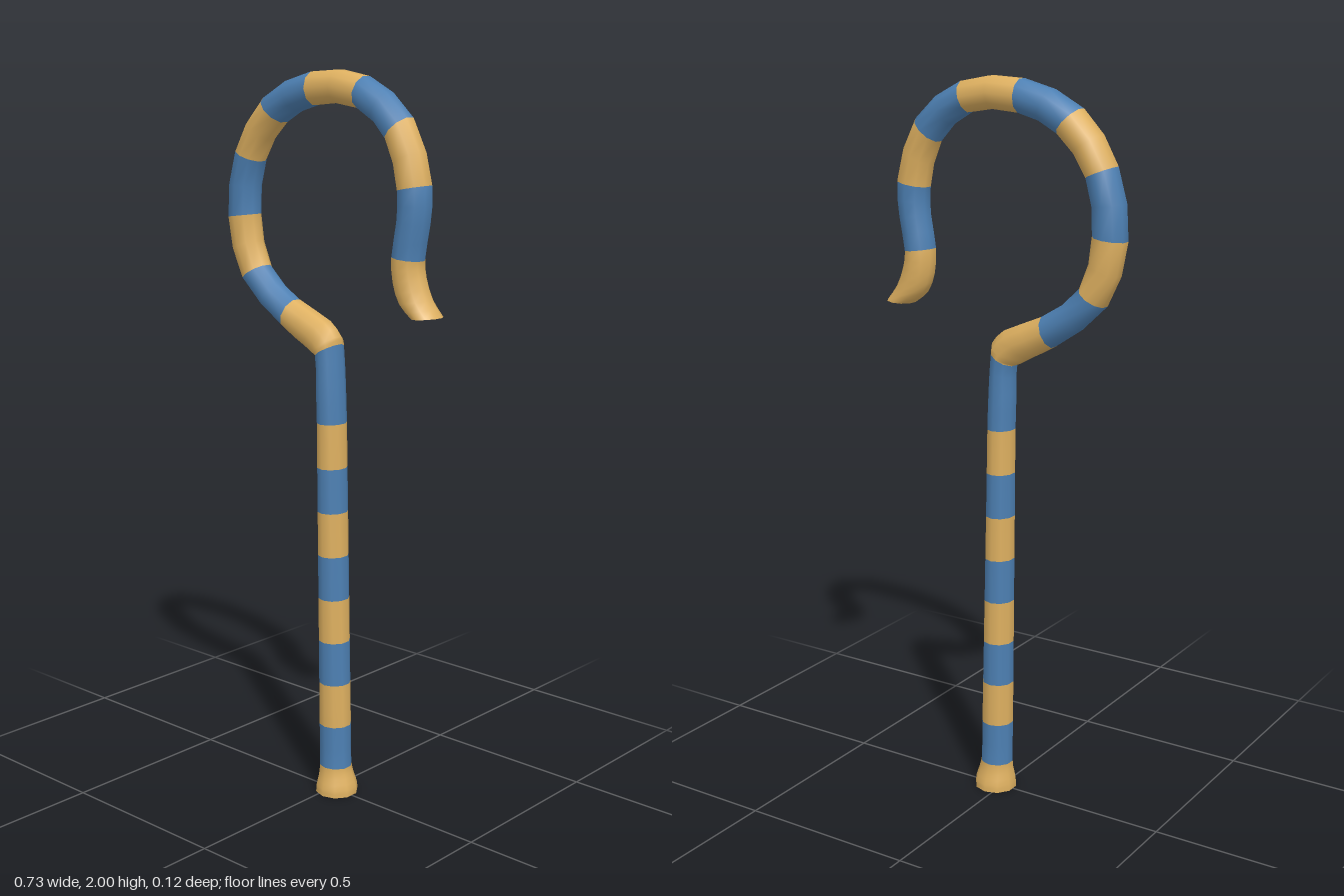
import * as THREE from 'three';

const SIDES = 10, STEPS = 2;
const GOLD = 0, BLUE = 1;

// Cross-sections along the staff: [left x, left y, right x, right y, depth radius, colour of the next stretch]
function crossSections() {
  const rows = [
    // flared foot
    [-0.037, 0, 0.077, 0, 0.06, GOLD],
    [-0.036, 0.02, 0.076, 0.02, 0.059, GOLD],
    [-0.031, 0.05, 0.067, 0.05, 0.05, GOLD],
  ];
  // straight shaft with even stripes
  for (let k = 0; k <= 8; k++) {
    const y = 0.08 + k * 0.1237, t = k / 8;
    rows.push([-0.028 - 0.007 * t, y, 0.06 - 0.023 * t, y, 0.045, k % 2 ? GOLD : BLUE]);
  }
  // bend at the neck, the loop and the curled tip
  const hook = [
    [-0.038, 1.17, 0.033, 1.17, BLUE],
    [-0.04, 1.248, 0.024, 1.285, GOLD],
    [-0.052, 1.252, 0.022, 1.305, GOLD],
    [-0.087, 1.272, -0.016, 1.343, GOLD],
    [-0.161, 1.312, -0.13, 1.391, BLUE],
    [-0.312, 1.433, -0.243, 1.476, GOLD],
    [-0.368, 1.603, -0.278, 1.614, BLUE],
    [-0.336, 1.788, -0.257, 1.757, GOLD],
    [-0.235, 1.926, -0.172, 1.863, BLUE],
    [-0.061, 1.995, -0.056, 1.91, GOLD],
    [0.119, 1.984, 0.098, 1.905, BLUE],
    [0.262, 1.884, 0.198, 1.825, GOLD],
    [0.325, 1.719, 0.235, 1.703, BLUE],
    [0.32, 1.619, 0.235, 1.629, BLUE],
    [0.304, 1.529, 0.22, 1.539, GOLD],
    [0.31, 1.486, 0.225, 1.47, GOLD],
    [0.332, 1.431, 0.247, 1.418, GOLD],
    [0.364, 1.39, 0.29, 1.384, GOLD],
  ];
  for (const [lx, ly, rx, ry, c] of hook) rows.push([lx, ly, rx, ry, 0.045, c]);
  return rows;
}

function staffGeometry() {
  const rows = crossSections();
  const left = new THREE.CatmullRomCurve3(rows.map(r => new THREE.Vector3(r[0], r[1], r[4])));
  const right = new THREE.CatmullRomCurve3(rows.map(r => new THREE.Vector3(r[2], r[3], r[4])));
  const count = (rows.length - 1) * STEPS;
  const widen = 1 / Math.cos(Math.PI / SIDES); // corners sit at the depth axis
  const positions = [], index = [];
  const geometry = new THREE.BufferGeometry();

  // ten-sided rings between the two edge curves
  const addRing = (t) => {
    const l = left.getPoint(t), r = right.getPoint(t);
    const cx = (l.x + r.x) / 2, cy = (l.y + r.y) / 2;
    for (let i = 0; i < SIDES; i++) {
      const a = (i / SIDES) * Math.PI * 2, s = Math.sin(a) * widen / 2;
      positions.push(cx + (r.x - l.x) * s, cy + (r.y - l.y) * s, l.z * Math.cos(a));
    }
    return [cx, cy, 0];
  };
  for (let n = 0; n <= count; n++) addRing(n / count);

  // striped skin
  for (let n = 0; n < count; n++) {
    const start = index.length;
    for (let i = 0; i < SIDES; i++) {
      const j = (i + 1) % SIDES;
      const a = n * SIDES + i, b = n * SIDES + j;
      index.push(a, b, b + SIDES, a, b + SIDES, a + SIDES);
    }
    geometry.addGroup(start, index.length - start, rows[Math.floor(n / STEPS)][5]);
  }

  // flat ends with their own vertices
  const capStart = index.length;
  for (const t of [0, 1]) {
    const base = positions.length / 3;
    positions.push(...addRing(t));
    for (let i = 0; i < SIDES; i++) {
      const a = base + i, b = base + (i + 1) % SIDES;
      if (t === 0) index.push(base + SIDES, b, a);
      else index.push(base + SIDES, a, b);
    }
  }
  geometry.addGroup(capStart, index.length - capStart, GOLD);

  geometry.setAttribute('position', new THREE.Float32BufferAttribute(positions, 3));
  geometry.setIndex(index);
  geometry.computeVertexNormals();
  return geometry;
}

export function createModel() {
  const gold = new THREE.MeshStandardMaterial({ color: 0xdeb060 });
  gold.name = 'gold';
  const blue = new THREE.MeshStandardMaterial({ color: 0x4d80b3 });
  blue.name = 'blue';

  const staff = new THREE.Mesh(staffGeometry(), [gold, blue]);
  staff.name = 'stripedCrook';

  const group = new THREE.Group();
  group.name = 'shepherdCrook';
  group.add(staff);
  return group;
}
